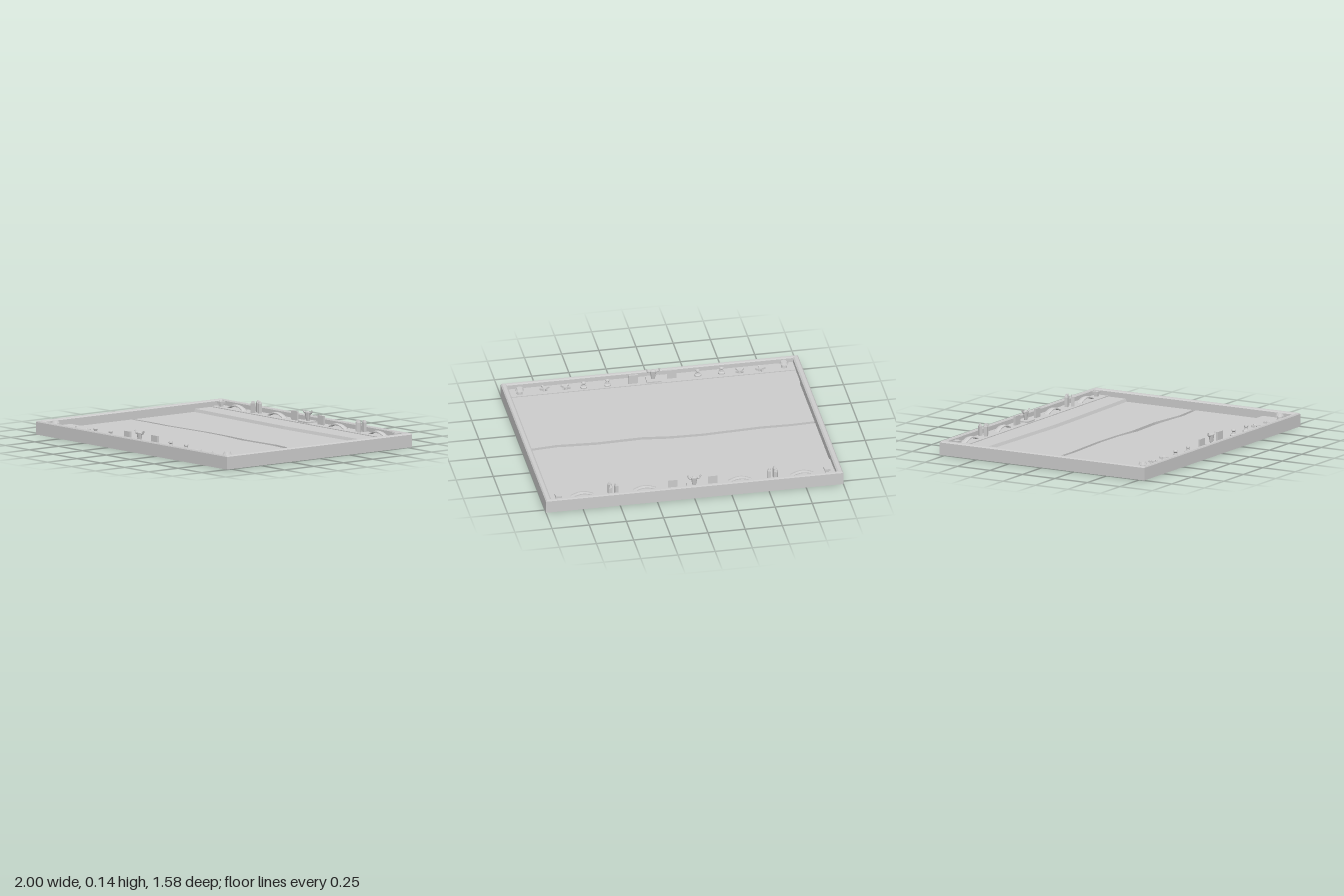
import * as THREE from 'three';

const material = new THREE.MeshStandardMaterial({ color: 0xcccccc, flatShading: true, side: THREE.DoubleSide });
const GROUND = 0.055; // top of the decorated strips

function add(parent, name, geometry, x = 0, y = 0, z = 0) {
  const mesh = new THREE.Mesh(geometry, material);
  mesh.name = name;
  mesh.position.set(x, y, z);
  parent.add(mesh);
  return mesh;
}

function group(parent, name, x, z, turn = 0) {
  const g = new THREE.Group();
  g.name = name;
  g.position.set(x, GROUND, z);
  g.rotation.y = turn;
  parent.add(g);
  return g;
}

// Joins rows of points (all the same length) into a faceted surface
function skin(rows) {
  const pos = [];
  for (let i = 0; i < rows.length - 1; i++) {
    for (let j = 0; j < rows[i].length - 1; j++) {
      const a = rows[i][j], b = rows[i + 1][j], c = rows[i + 1][j + 1], d = rows[i][j + 1];
      pos.push(...a, ...b, ...c, ...a, ...c, ...d);
    }
  }
  const geo = new THREE.BufferGeometry();
  geo.setAttribute('position', new THREE.Float32BufferAttribute(pos, 3));
  geo.computeVertexNormals();
  return geo;
}

// Raised frame: a bevelled cross-section carried round the rectangle
function frameGeometry() {
  const profile = [[1, 0], [0, 0], [0, 0.084], [0.2, 0.092], [0.75, 0.092], [1, 0.084], [1, 0]];
  const corners = [[1, 1], [1, -1], [-1, -1], [-1, 1], [1, 1]];
  return skin(corners.map(([sx, sz]) =>
    profile.map(([t, y]) => [sx * (1 - 0.04 * t), y, sz * (0.788 - 0.024 * t)])));
}

// Thin stepped floor with a winding sunken channel across the middle
function floorGeometry() {
  // x, curved rear step, channel back edge, channel front edge
  const stations = [
    [-0.96, -0.53, -0.015, 0.01], [-0.8, -0.526, -0.022, 0.004], [-0.6, -0.52, -0.018, 0.01],
    [-0.4, -0.515, -0.028, 0], [-0.2, -0.51, -0.038, -0.01], [0, -0.505, -0.033, -0.004],
    [0.2, -0.508, -0.02, 0.02], [0.5, -0.517, -0.034, 0.01], [0.77, -0.524, -0.003, 0.026],
    [0.96, -0.53, -0.018, 0.008],
  ];
  return skin(stations.map(([x, step, back, front]) => [
    [GROUND, -0.766], [GROUND, -0.668], [0.05, -0.668],
    [0.05, step - 0.004], [0.03, step + 0.004],
    [0.03, back], [0.012, back], [0.012, front], [0.03, front],
    [0.03, 0.515], [0.05, 0.523],
    [0.05, 0.66], [GROUND, 0.66], [GROUND, 0.766],
  ].map(([y, z]) => [x, y, z])));
}

// Horned head on a square plate
function hornedEmblem(parent, x, z) {
  const g = group(parent, 'hornedEmblem', x, z);
  add(g, 'emblemPlate', new THREE.BoxGeometry(0.095, 0.012, 0.085), 0, 0.003, 0);
  add(g, 'emblemHead', new THREE.CylinderGeometry(0.024, 0.012, 0.058, 8), 0, 0.038, 0).scale.z = 0.75;
  add(g, 'emblemCrown', new THREE.SphereGeometry(0.019, 8, 4), 0, 0.065, 0).scale.set(1, 0.5, 0.75);
  for (const s of [-1, 1]) {
    const curve = new THREE.CatmullRomCurve3([
      new THREE.Vector3(s * 0.018, 0.06, 0), new THREE.Vector3(s * 0.036, 0.063, 0), new THREE.Vector3(s * 0.044, 0.08, 0)]);
    const horn = new THREE.TubeGeometry(curve, 5, 0.006, 6);
    add(g, 'emblemHorn', horn);
  }
}

// Group of three pointed columns
function columnCluster(parent, side) {
  const g = group(parent, 'columnCluster', side * 0.54, -0.72);
  const profile = [[0.016, 0], [0.016, 0.064], [0.008, 0.079], [0, 0.08]].map(p => new THREE.Vector2(...p));
  [[0.016, -0.022], [-0.025, -0.002], [0.016, 0.022]].forEach(([x, z], i) => {
    add(g, 'column', new THREE.LatheGeometry(profile, 4), side * x, 0, z).rotation.y = 0.5 + side * 0.2 + i * 0.35;
  });
}

// Low curved ribbon lying along the strip
function wavyRibbon(parent, x) {
  const g = group(parent, 'wavyRibbon', x, -0.71);
  const rows = [];
  for (let i = 0; i <= 10; i++) {
    const u = i / 10;
    const y = 0.006 + 0.022 * Math.sin(u * Math.PI);
    const px = (u - 0.5) * 0.155;
    rows.push([[px, y - 0.006, -0.018], [px, y, -0.018], [px, y + 0.004, 0],
      [px, y, 0.018], [px, y - 0.006, 0.018], [px, y - 0.006, -0.018]]);
  }
  add(g, 'ribbonBand', skin(rows));
}

// Small four-armed burst
function burst(parent, x, z, turn) {
  const g = group(parent, 'burst', x, z, turn);
  add(g, 'burstCore', new THREE.CylinderGeometry(0.014, 0.019, 0.02, 8), 0, 0.01, 0);
  for (let i = 0; i < 4; i++) {
    const a = i * Math.PI / 2;
    const arm = add(g, 'burstArm', new THREE.BoxGeometry(0.024, 0.012, 0.011), Math.cos(a) * 0.022, 0.013, -Math.sin(a) * 0.022);
    arm.rotation.set(0, a, 0.25);
  }
}

// Small round-headed post
function post(parent, x, z) {
  const profile = [[0.024, 0], [0.024, 0.008], [0.014, 0.014], [0.01, 0.028], [0.015, 0.034], [0.013, 0.042], [0, 0.047]];
  const g = group(parent, 'post', x, z);
  add(g, 'postBody', new THREE.LatheGeometry(profile.map(p => new THREE.Vector2(...p)), 10));
}

export function createModel() {
  const model = new THREE.Group();
  model.name = 'gameBoard';
  add(model, 'frame', frameGeometry());
  add(model, 'floor', floorGeometry());

  // Centre emblems and their flanking tablets
  hornedEmblem(model, -0.01, -0.72);
  hornedEmblem(model, -0.01, 0.71);
  for (const [x, z] of [[-0.135, -0.712], [0.135, -0.718], [-0.135, 0.71], [0.127, 0.69]]) {
    add(model, 'tablet', new THREE.BoxGeometry(0.062, 0.062, 0.014), x, GROUND + 0.031, z);
  }

  // Rear strip
  for (const s of [-1, 1]) {
    columnCluster(model, s);
    wavyRibbon(model, s * 0.74);
    wavyRibbon(model, s * 0.32);
    const stand = group(model, 'squareStand', s * 0.905, s < 0 ? -0.71 : -0.725);
    add(stand, 'standStem', new THREE.BoxGeometry(0.024, 0.022, 0.024), 0, 0.011, 0);
    add(stand, 'standTop', new THREE.BoxGeometry(0.04, 0.014, 0.04), 0, 0.028, 0);
  }

  // Front strip
  for (const [x, z, turn] of [[-0.73, 0.695, 0.2], [-0.59, 0.695, 0.6], [0.58, 0.7, 0.9], [0.72, 0.71, 0.35]]) burst(model, x, z, turn);
  for (const [x, z] of [[-0.47, 0.71], [-0.31, 0.71], [0.3, 0.695], [0.46, 0.695]]) post(model, x, z);
  for (const s of [-1, 1]) {
    const stand = group(model, 'roundStand', s * 0.89, s < 0 ? 0.71 : 0.695);
    add(stand, 'standStem', new THREE.CylinderGeometry(0.016, 0.02, 0.026, 10), 0, 0.013, 0);
    add(stand, 'standTop', new THREE.CylinderGeometry(0.02, 0.03, 0.018, 10), 0, 0.035, 0);
  }
  return model;
}
